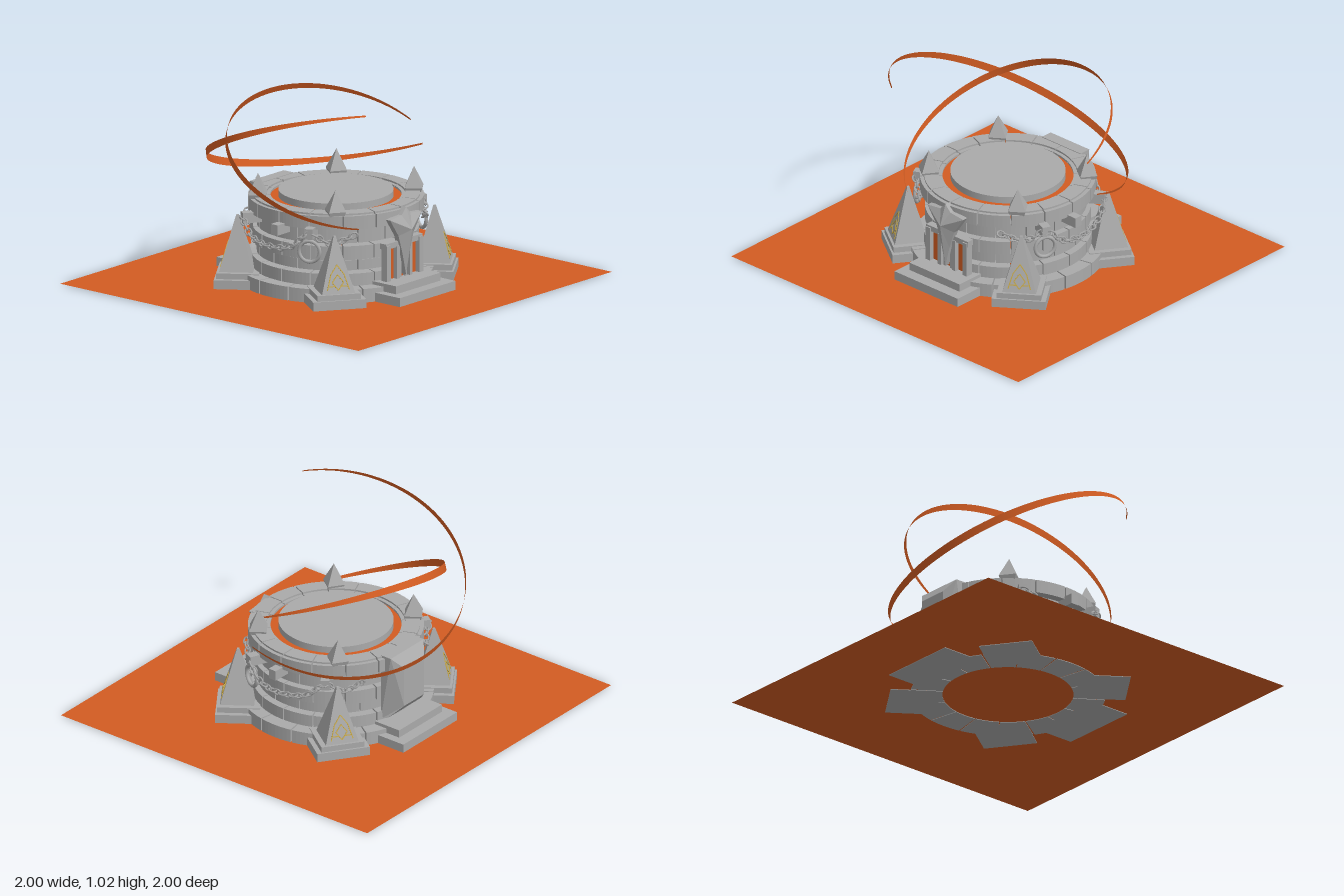
import * as THREE from 'three';

const mat = (name, color) => {
  const m = new THREE.MeshStandardMaterial({ color });
  m.name = name;
  return m;
};

export function createModel() {
  const stone = mat('grey stone', 0xaaaaaa);
  const glow = mat('burnt orange', 0xd25c22);
  const gold = mat('glyph gold', 0xc4a648);
  const glowSheet = mat('burnt orange sheet', 0xd25c22);
  glowSheet.side = THREE.DoubleSide;
  const model = new THREE.Group();

  const add = (parent, name, geo, material, x = 0, y = 0, z = 0) => {
    const m = new THREE.Mesh(geo, material);
    m.name = name;
    m.position.set(x, y, z);
    parent.add(m);
    return m;
  };
  const group = (name, x = 0, y = 0, z = 0, ry = 0) => {
    const g = new THREE.Group();
    g.name = name;
    g.position.set(x, y, z);
    g.rotation.y = ry;
    model.add(g);
    return g;
  };
  const box = (w, h, d) => new THREE.BoxGeometry(w, h, d);
  const flat = (geo) => {
    const g = geo.index ? geo.toNonIndexed() : geo;
    g.computeVertexNormals();
    return g;
  };
  // Square frustum with sides facing the axes, standing on y = 0
  const frustum = (top, bottom, h) => flat(new THREE.CylinderGeometry(top * Math.SQRT1_2,
    bottom * Math.SQRT1_2, h, 4).rotateY(Math.PI / 4).translate(0, h / 2, 0));

  // Ring of curved stone blocks
  const blockRing = (name, rIn, rOut, y0, y1, count, offset = 0.5, gap = 0.008) => {
    const g = group(name);
    const step = Math.PI * 2 / count;
    const shape = new THREE.Shape();
    shape.absarc(0, 0, rOut, gap, step - gap, false);
    shape.absarc(0, 0, rIn, step - gap, gap, true);
    const geo = new THREE.ExtrudeGeometry(shape, { depth: y1 - y0, bevelEnabled: false, curveSegments: 4 });
    geo.rotateX(-Math.PI / 2);
    for (let i = 0; i < count; i++) {
      add(g, name + 'Block', geo, stone, 0, y0, 0).rotation.y = (i + offset) * step;
    }
  };

  // Ground sheet
  add(model, 'ground', new THREE.PlaneGeometry(2, 2).rotateX(-Math.PI / 2), glowSheet, 0, 0.003, 0);

  // Glowing core and its stone lid
  add(model, 'core', new THREE.CylinderGeometry(0.345, 0.345, 0.43, 48), glow, 0, 0.225, 0);
  add(model, 'lid', new THREE.CylinderGeometry(0.295, 0.295, 0.036, 48), stone, 0, 0.458, 0);

  // Stacked wall courses
  blockRing('baseCourse', 0.335, 0.5, 0, 0.075, 16);
  blockRing('lowerCourse', 0.335, 0.43, 0.075, 0.14, 16, 0);
  blockRing('middleCourse', 0.335, 0.405, 0.152, 0.205, 16);
  blockRing('upperCourse', 0.335, 0.425, 0.212, 0.285, 16, 0);
  blockRing('neckCourse', 0.335, 0.405, 0.296, 0.38, 16);
  blockRing('rimCourse', 0.335, 0.45, 0.38, 0.45, 16, 0);
  blockRing('rimCap', 0.355, 0.43, 0.45, 0.459, 16, 0);

  // Corner obelisks on stepped pads, with a spike above each
  const bar = (parent, x0, y0, x1, y1) => {
    const b = add(parent, 'glyphStroke', box(Math.hypot(x1 - x0, y1 - y0), 0.005, 0.004), gold,
      (x0 + x1) / 2, (y0 + y1) / 2, 0);
    b.rotation.z = Math.atan2(y1 - y0, x1 - x0);
  };
  for (const sx of [1, -1]) for (const sz of [1, -1]) {
    const ry = Math.atan2(sx * 0.576, sz * 0.817);
    const g = group('obelisk', sx * 0.395, 0, sz * 0.325, ry);
    add(g, 'pad', box(0.28, 0.05, 0.26), stone, 0, 0.025, -0.02);
    add(g, 'padStep', box(0.23, 0.03, 0.22), stone, 0, 0.065, -0.01);
    add(g, 'shaft', frustum(0.012, 0.175, 0.285), stone, 0, 0.08, 0);
    const face = new THREE.Group();
    face.name = 'glyph';
    face.position.set(0, 0.08, 0.0885);
    face.rotation.x = -Math.atan2(0.0815, 0.285);
    g.add(face);
    for (const s of [1, -1]) {
      bar(face, s * 0.058, 0.02, s * 0.035, 0.1);
      bar(face, s * 0.035, 0.1, 0, 0.15);
      bar(face, s * 0.03, 0.06, 0, 0.1);
      bar(face, s * 0.03, 0.06, 0, 0.02);
      bar(face, s * 0.048, 0.04, s * 0.015, 0.04);
    }
    const spike = group('rimSpike', sx * 0.31, 0.445, sz * 0.26, ry);
    add(spike, 'spikeFoot', frustum(0.09, 0.075, 0.025), stone);
    add(spike, 'spikePoint', frustum(0.001, 0.09, 0.107), stone, 0, 0.025, 0);
  }

  // Front and back stepped platforms
  for (const s of [1, -1]) {
    const g = group('platform', 0, 0, 0, s > 0 ? 0 : Math.PI);
    add(g, 'platformPad', box(0.44, 0.05, 0.235), stone, 0, 0.025, 0.4975);
    add(g, 'platformStep', box(0.35, 0.042, 0.16), stone, 0, 0.071, 0.472);
  }

  // Front gate: glowing panel behind pillars
  const gate = group('gate');
  add(gate, 'gatePanel', box(0.23, 0.18, 0.008), glow, 0, 0.18, 0.433);
  for (const s of [1, -1]) {
    add(gate, 'outerPillar', box(0.03, 0.2, 0.04), stone, s * 0.128, 0.18, 0.445);
    add(gate, 'midPillar', box(0.022, 0.18, 0.03), stone, s * 0.05, 0.175, 0.447);
    add(gate, 'innerPillar', box(0.014, 0.18, 0.02), stone, s * 0.022, 0.175, 0.442);
  }
  add(gate, 'lintel', box(0.29, 0.03, 0.04), stone, 0, 0.275, 0.438);

  // Pointed star crest with a raised centre
  const half = [[0.035, 0.425], [0.125, 0.415], [0.06, 0.32], [0.028, 0.22]];
  const outline = [[0, 0.462], ...half.map(([x, y]) => [-x, y]), [0, 0.105], ...half.slice().reverse()];
  const slab = new THREE.ExtrudeGeometry(new THREE.Shape(outline.map(([x, y]) => new THREE.Vector2(x, y))),
    { depth: 0.03, bevelEnabled: false });
  add(gate, 'crestSlab', slab, stone, 0, 0, 0.44);
  const facets = [];
  outline.forEach(([x, y], i) => {
    const [nx, ny] = outline[(i + 1) % outline.length];
    facets.push(0, 0.35, 0.51, x, y, 0.47, nx, ny, 0.47);
  });
  const crest = new THREE.BufferGeometry();
  crest.setAttribute('position', new THREE.Float32BufferAttribute(facets, 3));
  crest.computeVertexNormals();
  add(gate, 'crestFace', crest, stone);

  // Back buttress with chamfered profile
  const profile = new THREE.Shape([[0.4, 0.09], [0.45, 0.115], [0.51, 0.18], [0.51, 0.4], [0.465, 0.462], [0.4, 0.462]]
    .map(([z, y]) => new THREE.Vector2(z, y)));
  const buttress = new THREE.ExtrudeGeometry(profile, { depth: 0.27, bevelEnabled: false });
  buttress.translate(0, 0, -0.135).rotateY(Math.PI / 2);
  // Narrow the outer face
  const bp = buttress.attributes.position;
  for (let i = 0; i < bp.count; i++) if (bp.getZ(i) < -0.5) bp.setX(i, bp.getX(i) * 0.6);
  add(model, 'buttress', flat(buttress), stone);

  // Hanging chains, brackets and shackles on both sides
  const link = new THREE.TorusGeometry(0.016, 0.0045, 5, 10).scale(1.35, 1, 1);
  for (const s of [1, -1]) {
    const g = group('sideChain');
    const at = (a, y, r) => new THREE.Vector3(s * r * Math.cos(a), y, r * Math.sin(a));
    const pts = [[-0.95, 0.35], [-0.75, 0.31], [-0.56, 0.365], [-0.35, 0.295], [-0.05, 0.272],
      [0.22, 0.29], [0.42, 0.365], [0.65, 0.31], [0.9, 0.35]].map(([a, y]) =>
      at(a, y, Math.abs(a) > 0.6 ? 0.46 : 0.5));
    const path = new THREE.CatmullRomCurve3(pts);
    const n = 32;
    for (let i = 0; i <= n; i++) {
      const m = add(g, 'chainLink', link, stone);
      m.position.copy(path.getPointAt(i / n));
      m.quaternion.setFromUnitVectors(new THREE.Vector3(1, 0, 0), path.getTangentAt(i / n));
      m.rotateX((i % 2) * Math.PI / 2);
    }
    for (const a of [-0.56, 0.03, 0.42]) {
      const b = add(g, 'bracket', box(0.045, 0.055, 0.1), stone);
      b.position.copy(at(a, 0.365, 0.455));
      b.rotation.set(0, Math.atan2(s * Math.cos(a), Math.sin(a)), 0);
    }
    const ring = add(g, 'shackle', new THREE.TorusGeometry(0.055, 0.01, 8, 20), stone);
    ring.position.copy(at(0.42, 0.27, 0.485));
    ring.rotation.y = Math.atan2(s * Math.cos(0.42), Math.sin(0.42));
  }

  // Tapered ribbons sweeping along tilted circles
  const ribbon = (name, radius, midY, rise, phase, width) => {
    const tilt = Math.asin(rise / radius);
    const cp = Math.cos(phase), sp = Math.sin(phase);
    const peak = new THREE.Vector3(cp * Math.cos(tilt), Math.sin(tilt), -sp * Math.cos(tilt));
    const side = new THREE.Vector3(-sp, 0, -cp);
    const normal = new THREE.Vector3().crossVectors(peak, side).normalize();
    const geo = new THREE.PlaneGeometry(1, 1, 96, 1);
    const p = geo.attributes.position;
    for (let i = 0; i < p.count; i++) {
      const u = p.getX(i) + 0.5;
      const t = u * 235 * Math.PI / 180 - phase;
      const w = width * (0.2 + 0.8 * Math.sin(Math.PI * u));
      const v = peak.clone().multiplyScalar(radius * Math.cos(t))
        .addScaledVector(side, radius * Math.sin(t)).addScaledVector(normal, p.getY(i) * w);
      p.setXYZ(i, v.x, v.y + midY, v.z);
    }
    geo.computeVertexNormals();
    add(model, name, geo, glowSheet);
  };
  const rad = Math.PI / 180;
  ribbon('innerRibbon', 0.575, 0.64, 0.25, 70 * rad, 0.042);
  ribbon('outerRibbon', 0.668, 0.74, -0.28, 56 * rad, 0.042);

  return model;
}
